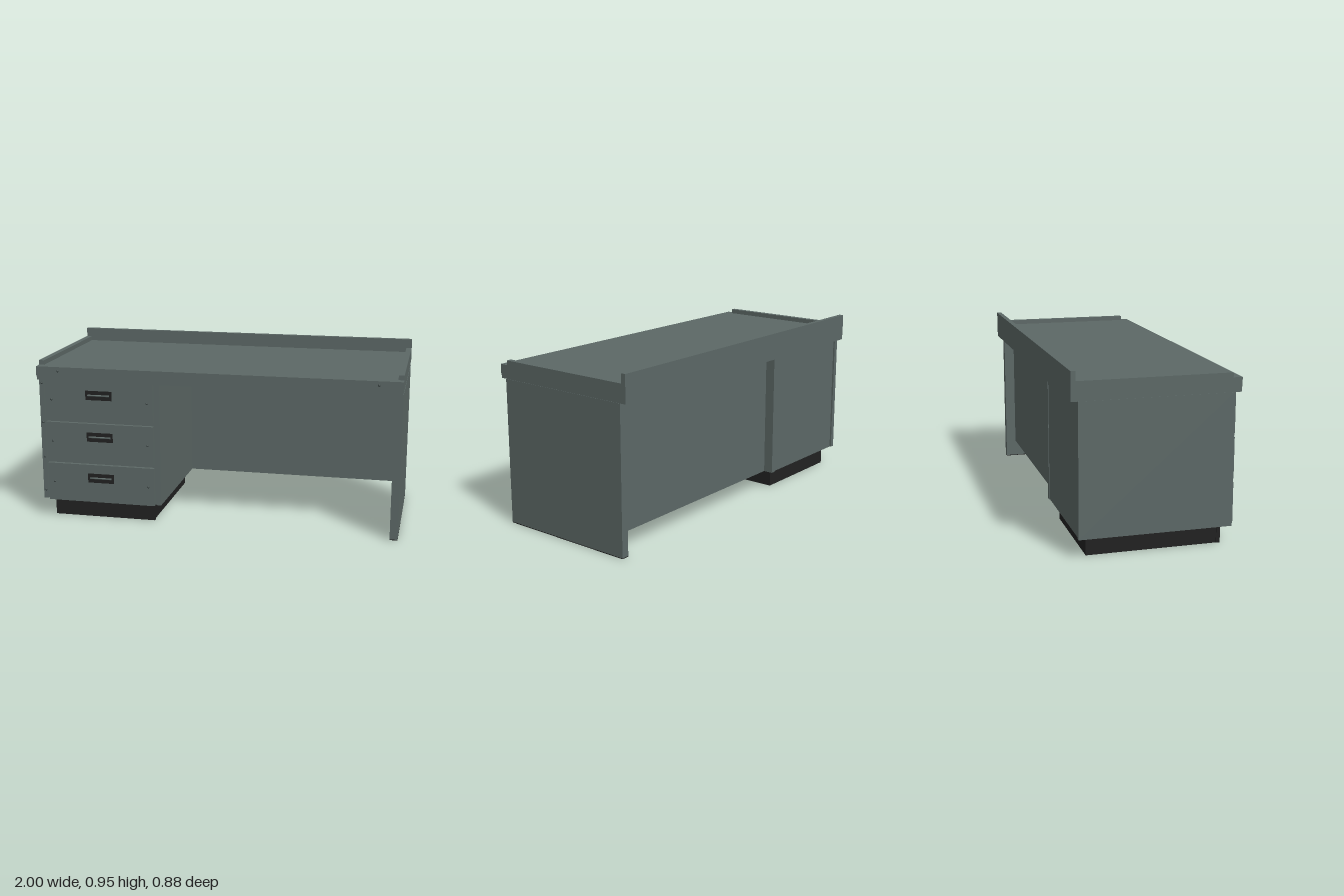
import * as THREE from 'three';

const steel = new THREE.MeshStandardMaterial({ name: 'grey green steel', color: 0x5c6866 });
const black = new THREE.MeshStandardMaterial({ name: 'black', color: 0x212121 });
const screwGrey = new THREE.MeshStandardMaterial({ name: 'dark screw grey', color: 0x414b4a });

export function createModel() {
  const desk = new THREE.Group();
  desk.name = 'desk';

  // Box given by its lower and upper limits on each axis
  const box = (name, [x0, x1], [y0, y1], [z0, z1], material = steel, parent = desk) => {
    const mesh = new THREE.Mesh(new THREE.BoxGeometry(x1 - x0, y1 - y0, z1 - z0), material);
    mesh.position.set((x0 + x1) / 2, (y0 + y1) / 2, (z0 + z1) / 2);
    mesh.name = name;
    parent.add(mesh);
    return mesh;
  };

  // Domed screw head facing the front
  const screw = (x, y, z, parent = desk) => {
    const mesh = new THREE.Mesh(new THREE.SphereGeometry(0.007, 12, 6, 0, Math.PI * 2, 0, Math.PI / 2), screwGrey);
    mesh.rotation.x = Math.PI / 2;
    mesh.position.set(x, y, z);
    mesh.name = 'screw';
    parent.add(mesh);
  };

  // Worktop: slab, lower frame, back lip and side rails
  box('worktop', [-1, 1], [0.826, 0.875], [-0.436, 0.436]);
  box('worktopFrame', [-0.998, 0.998], [0.8, 0.826], [-0.435, 0.435]);
  box('backLip', [-1, 1], [0.875, 0.95], [-0.436, -0.41]);
  for (const side of [-1, 1]) {
    const x = side * 0.985;
    box('sideRail', [x - 0.015, x + 0.015], [0.875, 0.9], [-0.41, 0.388]);
    screw(side * 0.875, 0.853, 0.435);
  }

  // Leg panel with a thin foot, and the panel behind the knee space
  box('legPanel', [0.957, 1], [0.004, 0.8], [-0.4, 0.4]);
  box('legFoot', [0.957, 1], [0, 0.004], [-0.4, 0.4], black);
  box('modestyPanel', [-0.312, 0.935], [0.105, 0.8], [-0.345, -0.32]);

  // Drawer pedestal
  const pedestal = new THREE.Group();
  pedestal.name = 'drawerPedestal';
  desk.add(pedestal);
  box('outerSide', [-1, -0.973], [0.105, 0.8], [-0.4, 0.4], steel, pedestal);
  box('innerSide', [-0.336, -0.31], [0.105, 0.8], [-0.4, 0.4], steel, pedestal);
  box('carcass', [-0.962, -0.336], [0.108, 0.8], [-0.397, 0.399], steel, pedestal);
  box('plinth', [-0.94, -0.365], [0, 0.108], [-0.35, 0.34], black, pedestal);
  box('kickPlate', [-0.945, -0.358], [0, 0.108], [0.34, 0.36], black, pedestal);
  for (const y of [0.155, 0.35, 0.55, 0.775]) screw(-0.986, y, 0.399, pedestal);

  // Three drawers with flush black pulls
  for (let i = 0; i < 3; i++) {
    const drawer = new THREE.Group();
    drawer.name = 'drawer';
    drawer.position.y = 0.105 + i * 0.2375;
    pedestal.add(drawer);
    box('drawerFront', [-0.96, -0.343], [0, 0.217], [0.399, 0.42], steel, drawer);
    box('pullPlate', [-0.725, -0.575], [0.115, 0.167], [0.419, 0.423], black, drawer);
    const bar = new THREE.Mesh(new THREE.CylinderGeometry(0.005, 0.005, 0.124, 12), steel);
    bar.name = 'pullBar';
    bar.rotation.z = Math.PI / 2;
    bar.position.set(-0.65, 0.141, 0.423);
    drawer.add(bar);
    for (const x of [-0.925, -0.376]) screw(x, 0.109, 0.419, drawer);
  }

  return desk;
}
